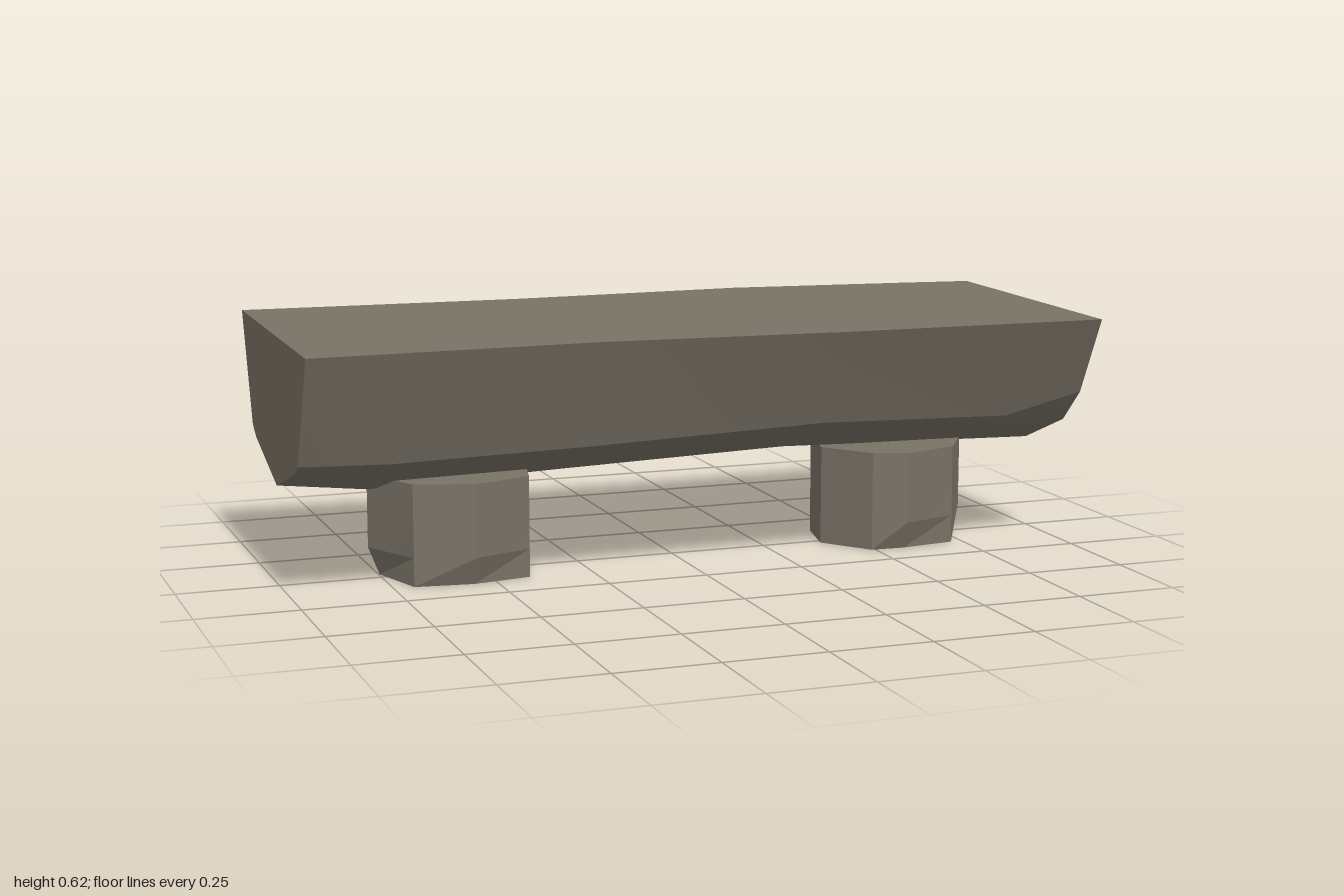
import * as THREE from 'three';
import { toCreasedNormals } from 'three/addons/utils/BufferGeometryUtils.js';

const wood = new THREE.MeshStandardMaterial({ color: 0x787266 });

// Skins closed rings that run counter-clockwise about the direction of travel, and caps both ends
function loft(rings, name) {
  const pos = [];
  const tri = (...corners) => corners.forEach((p) => pos.push(...p));
  const centre = (ring) => [0, 1, 2].map((k) => ring.reduce((s, p) => s + p[k], 0) / ring.length);
  const n = rings[0].length;
  const first = rings[0];
  const last = rings[rings.length - 1];
  for (let j = 0; j < n; j++) {
    const k = (j + 1) % n;
    for (let i = 0; i < rings.length - 1; i++) {
      const [r, s] = [rings[i], rings[i + 1]];
      tri(r[j], r[k], s[k]);
      tri(r[j], s[k], s[j]);
    }
    tri(centre(first), first[k], first[j]);
    tri(centre(last), last[j], last[k]);
  }
  const geometry = new THREE.BufferGeometry();
  geometry.setAttribute('position', new THREE.Float32BufferAttribute(pos, 3));
  const mesh = new THREE.Mesh(toCreasedNormals(geometry, 0.3), wood);
  mesh.name = name;
  return mesh;
}

// Half-log seat: each station is x, then [z, y] from the front top edge, under the keel, to the back top edge
function makeSeat() {
  const stations = [
    [-1, [0.365, 0.603], [0.25, 0.335], [0.22, 0.315], [0, 0.245], [-0.24, 0.32], [-0.28, 0.345], [-0.38, 0.617]],
    [-0.78, [0.36, 0.603], [0.25, 0.328], [0.235, 0.322], [0, 0.22], [-0.26, 0.325], [-0.28, 0.335], [-0.37, 0.617]],
    [-0.3, [0.35, 0.603], [0.25, 0.338], [0.235, 0.332], [0, 0.237], [-0.26, 0.33], [-0.275, 0.34], [-0.35, 0.617]],
    [0.3, [0.375, 0.6], [0.26, 0.36], [0.24, 0.35], [0, 0.255], [-0.26, 0.34], [-0.275, 0.35], [-0.34, 0.621]],
    [0.8, [0.375, 0.598], [0.26, 0.348], [0.24, 0.335], [0, 0.242], [-0.275, 0.332], [-0.29, 0.337], [-0.365, 0.61]],
    // chipped lower corners on this end
    [1, [0.375, 0.597], [0.275, 0.4], [0.19, 0.315], [-0.01, 0.235], [-0.2, 0.32], [-0.29, 0.405], [-0.375, 0.605]],
  ];
  return loft(stations.map(([x, ...section]) => section.map(([z, y]) => [x, y, z])), 'seatLog');
}

// Stump: a many-sided outline with some lower corners chipped away
function makeStump(name, outline, chipped) {
  const cx = outline.reduce((s, p) => s + p[0], 0) / outline.length;
  const cz = outline.reduce((s, p) => s + p[1], 0) / outline.length;
  const ring = (y, inset) => outline.map(([x, z], i) => {
    const f = chipped.includes(i) ? 1 - inset : 1;
    return [cx + (x - cx) * f, y, cz + (z - cz) * f];
  });
  return loft([ring(0, 0.13), ring(0.07, 0), ring(0.25, 0)], name);
}

export function createModel() {
  const bench = new THREE.Group();
  bench.name = 'logBench';
  bench.add(makeSeat());
  bench.add(makeStump('leftStump', [
    [0.575, 0.17], [0.72, 0.125], [0.8, 0], [0.77, -0.155], [0.66, -0.23],
    [0.52, -0.21], [0.43, -0.12], [0.4, 0.02], [0.49, 0.14],
  ], [0, 2]));
  bench.add(makeStump('rightStump', [
    [-0.555, 0.17], [-0.41, 0.12], [-0.375, -0.03], [-0.43, -0.17],
    [-0.57, -0.23], [-0.7, -0.18], [-0.775, -0.03], [-0.7, 0.125],
  ], [0, 6]));
  return bench;
}
